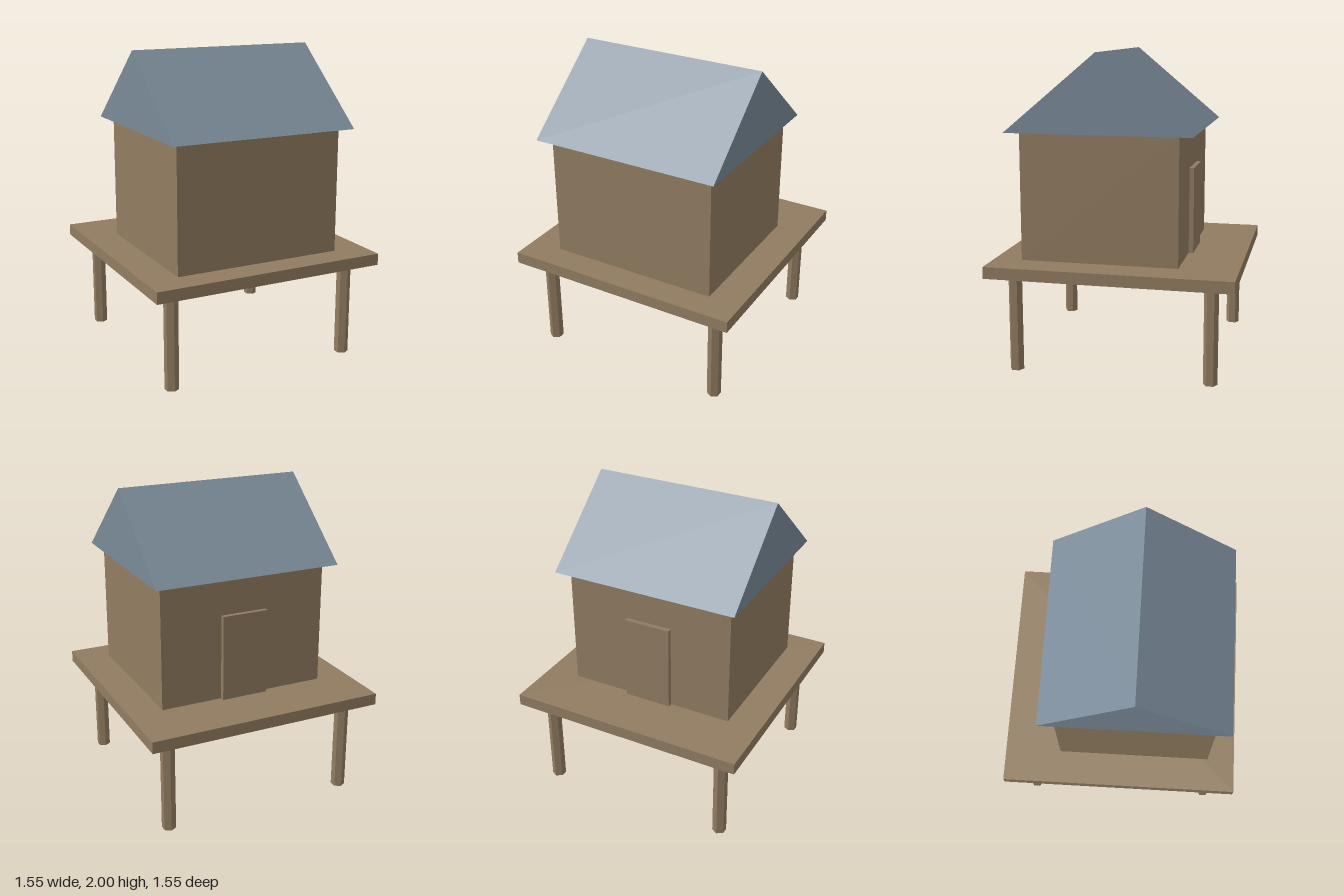
import * as THREE from 'three';

export function createModel() {
  const model = new THREE.Group();
  const wood = new THREE.MeshStandardMaterial({ color: 0x917c61, flatShading: true });
  wood.name = 'wood';
  const slate = new THREE.MeshStandardMaterial({ color: 0x7a8a98, flatShading: true });
  slate.name = 'slate';

  const add = (name, geometry, material, x, y, z) => {
    const mesh = new THREE.Mesh(geometry, material);
    mesh.name = name;
    mesh.position.set(x, y, z);
    model.add(mesh);
  };

  const deckBottom = 0.625, deckTop = 0.7, eaves = 1.51, houseZ = 0.095;

  // Six-sided stilts under the corners
  const stilt = new THREE.CylinderGeometry(0.045, 0.045, deckBottom, 6);
  for (const [side, x] of [['Left', 0.62], ['Right', -0.62]]) {
    for (const [end, z] of [['front', 0.62], ['back', -0.62]]) {
      add(`${end}${side}Stilt`, stilt, wood, x, deckBottom / 2, z);
    }
  }

  // Square deck
  add('deck', new THREE.BoxGeometry(1.55, deckTop - deckBottom, 1.55), wood, 0, (deckTop + deckBottom) / 2, 0);

  // Hut walls, set towards the front of the deck
  add('walls', new THREE.BoxGeometry(1.12, eaves - deckTop, 1), wood, 0, (eaves + deckTop) / 2, houseZ);

  // Door on the back wall
  add('door', new THREE.BoxGeometry(0.31, 0.56, 0.07), wood, 0, deckTop + 0.28, -0.4);

  // Gabled roof, a triangle extruded along x
  const gable = new THREE.Shape([
    new THREE.Vector2(-0.587, 0),
    new THREE.Vector2(0.587, 0),
    new THREE.Vector2(0, 2 - eaves),
  ]);
  const roof = new THREE.ExtrudeGeometry(gable, { depth: 1.236, bevelEnabled: false });
  roof.translate(0, 0, -0.618).rotateY(Math.PI / 2);
  add('roof', roof, slate, 0, eaves, houseZ - 0.002);

  return model;
}
